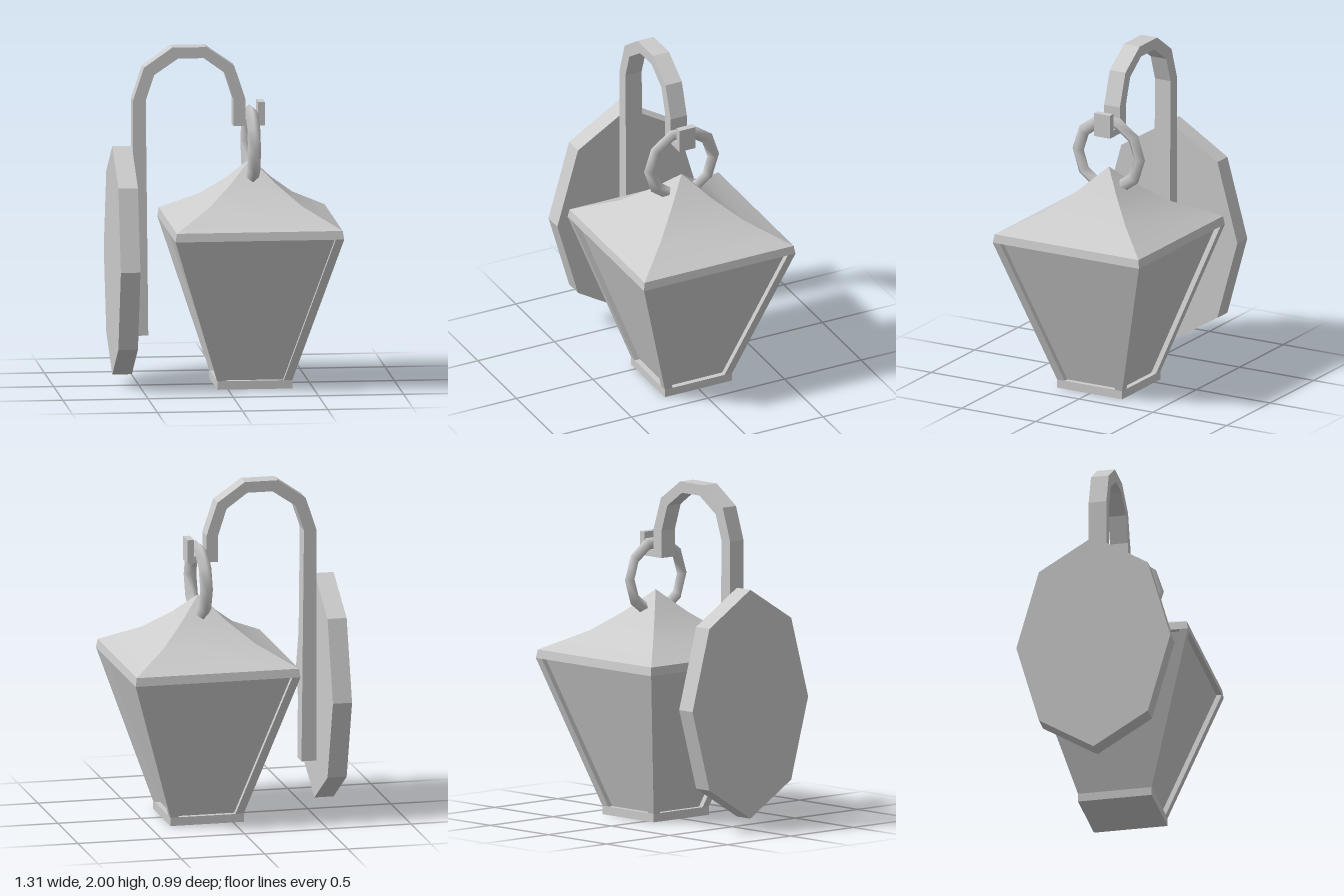
import * as THREE from 'three';
import { toCreasedNormals } from 'three/addons/utils/BufferGeometryUtils.js';

const flat = new THREE.MeshStandardMaterial({ color: 0xcccccc, flatShading: true });
const smooth = new THREE.MeshStandardMaterial({ color: 0xcccccc });
const LANTERN_X = 0.157;

function part(name, geometry, material = flat) {
  const mesh = new THREE.Mesh(geometry, material);
  mesh.name = name;
  return mesh;
}

// Square frustum given by half widths at its bottom and top
function frustum(bottom, top, y0, y1) {
  const g = new THREE.CylinderGeometry(top * Math.SQRT2, bottom * Math.SQRT2, y1 - y0, 4);
  return g.rotateY(Math.PI / 4).translate(0, (y0 + y1) / 2, 0);
}

// Square post leaning outwards along the corner (sx, sz)
function cornerPost(sx, sz) {
  const y0 = 0.05, y1 = 0.92;
  const g = new THREE.BoxGeometry(0.05, y1 - y0, 0.05);
  const p = g.attributes.position;
  for (let i = 0; i < p.count; i++) {
    const centre = p.getY(i) > 0 ? 0.47 : 0.195;
    p.setX(i, p.getX(i) + sx * centre);
    p.setZ(i, p.getZ(i) + sz * centre);
  }
  return g.translate(0, (y0 + y1) / 2, 0);
}

export function createModel() {
  const model = new THREE.Group();
  model.name = 'wallLantern';

  // Octagonal wall plate, taller than wide
  const plate = new THREE.CylinderGeometry(1, 1, 0.115, 8);
  plate.rotateZ(Math.PI / 2).scale(1, 0.675, 0.46).translate(-0.598, 0.74, 0);
  model.add(part('wallPlate', plate));

  // Curved arm ending in an upturned hook
  const outline = [
    [-0.45, 0.3], [-0.465, 1.69], [-0.415, 1.84], [-0.275, 1.935], [-0.125, 1.935],
    [0, 1.845], [0.05, 1.69], [0.05, 1.53], [0.235, 1.53], [0.235, 1.67],
    [0.195, 1.67], [0.195, 1.57], [0.12, 1.57], [0.12, 1.69], [0.055, 1.885],
    [-0.11, 2], [-0.31, 2], [-0.475, 1.885], [-0.54, 1.69], [-0.54, 0.3],
  ].map(([x, y]) => new THREE.Vector2(x, y));
  const arm = new THREE.ExtrudeGeometry(new THREE.Shape(outline), { depth: 0.106, bevelEnabled: false });
  model.add(part('hookArm', arm.translate(0, 0, -0.053)));

  // Hanging ring
  const ring = new THREE.TorusGeometry(0.207, 0.038, 4, 10);
  model.add(part('hangingRing', ring.rotateY(Math.PI / 2).translate(LANTERN_X, 1.405, 0), smooth));

  // Lantern body
  const lantern = new THREE.Group();
  lantern.name = 'lantern';
  lantern.position.x = LANTERN_X;
  lantern.add(part('base', frustum(0.22, 0.22, 0, 0.05)));
  lantern.add(part('glassPanels', frustum(0.188, 0.463, 0.05, 0.92)));
  for (const sx of [-1, 1]) {
    for (const sz of [-1, 1]) lantern.add(part('cornerPost', cornerPost(sx, sz)));
  }

  // Four-sided concave roof with a thin eave band
  const profile = [[0, 0.92], [0.495, 0.92], [0.487, 0.97], [0.272, 1.085], [0.13, 1.2], [0, 1.33]]
    .map(([half, y]) => new THREE.Vector2(half * Math.SQRT2, y));
  const roof = new THREE.LatheGeometry(profile, 4, Math.PI / 4);
  lantern.add(part('roof', toCreasedNormals(roof, 0.5), smooth));

  model.add(lantern);
  return model;
}
